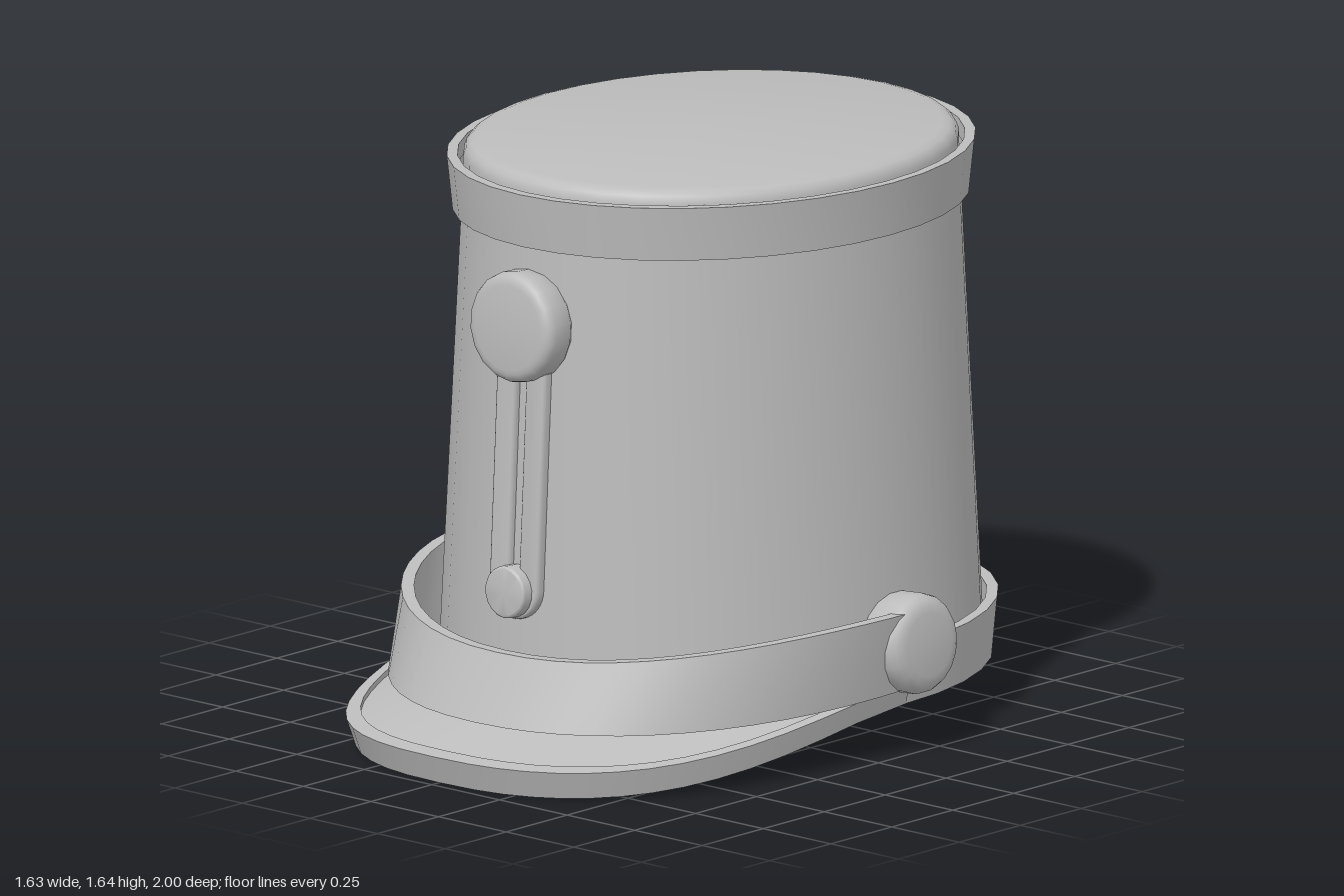
import * as THREE from 'three';
import { toCreasedNormals } from 'three/addons/utils/BufferGeometryUtils.js';

const CZ = -0.145;      // centre of the oval plan
const OVAL = 0.858;     // width / depth of the oval

// Oval lathe around the hat's axis; radii are given along z
function ovalLathe(pts, start = 0, length = Math.PI * 2) {
  const g = new THREE.LatheGeometry(pts.map(p => new THREE.Vector2(...p)), length > 4 ? 36 : 18, start, length);
  g.scale(OVAL, 1, 1);
  g.translate(0, 0, CZ);
  return toCreasedNormals(g, 0.6);
}

// Sweep a closed cross-section, section(t) -> [[x, y, z], ...], around the front half
function frontLoft(section, steps = 28) {
  const pos = [], idx = [];
  let n = 0;
  for (let i = 0; i <= steps; i++) {
    const ring = section(Math.PI * i / steps);
    n = ring.length;
    ring.forEach(p => pos.push(...p));
  }
  for (let i = 0; i < steps; i++) {
    for (let j = 0; j < n; j++) {
      const a = i * n + j, b = i * n + (j + 1) % n;
      idx.push(a, b, a + n, b, b + n, a + n);
    }
  }
  const g = new THREE.BufferGeometry();
  g.setAttribute('position', new THREE.Float32BufferAttribute(pos, 3));
  g.setIndex(idx);
  return toCreasedNormals(g, 0.6);
}

// Point on a rounded oval; power 2 is an ellipse, larger is squarer
function oval(t, rx, rz, power = 2) {
  const c = Math.cos(t), s = Math.max(0, Math.sin(t)), e = 2 / power;
  return [rx * Math.sign(c) * Math.abs(c) ** e, CZ + rz * s ** e];
}

// Soft-edged disc standing on y = 0
function roundel(r, h, soft) {
  const pts = [[0, 0], [r * 0.93, 0], [r, soft * 0.5], [r, h - soft]];
  for (let i = 1; i <= 4; i++) {
    const a = i / 4 * Math.PI / 2;
    pts.push([r - soft * (1 - Math.cos(a)), h - soft + soft * 0.9 * Math.sin(a)]);
  }
  pts.push([0, h]);
  return toCreasedNormals(new THREE.LatheGeometry(pts.map(p => new THREE.Vector2(...p)), 18), 0.75);
}

// Upright slot outline between two heights
function slot(target, r, y0, y1) {
  target.absarc(0, y1, r, 0, Math.PI, false);
  target.absarc(0, y0, r, Math.PI, Math.PI * 2, false);
  target.closePath();
  return target;
}

export function createModel() {
  const group = new THREE.Group();
  const grey = new THREE.MeshStandardMaterial({ color: 0xbcbcbc, side: THREE.DoubleSide });
  grey.name = 'grey';
  const add = (name, geometry) => {
    const m = new THREE.Mesh(geometry, grey);
    m.name = name;
    group.add(m);
    return m;
  };

  // Tapered open crown
  add('crown', ovalLathe([[0.814, 0.14], [0.738, 1.58]]));

  // Band around the top and the padded lid inside it
  add('topBand', ovalLathe([[0.735, 1.458], [0.77, 1.458], [0.787, 1.61], [0.755, 1.61], [0.75, 1.57]]));
  add('lid', ovalLathe([[0.738, 1.56], [0.738, 1.61], [0.73, 1.63], [0.715, 1.642], [0.69, 1.648], [0, 1.65]]));

  // Band around the back of the base
  add('backBand', ovalLathe(
    [[0.805, 0.14], [0.838, 0.14], [0.855, 0.31], [0.82, 0.31], [0.805, 0.14]], Math.PI / 2, Math.PI));

  // Visor: a dipping plate with a raised rim
  add('visor', frontLoft(t => {
    const [ox, oz] = oval(t, 0.735, 1.145, 2.5);
    const [bx, bz] = oval(t, 0.72, 1.115, 2.5);
    const [lx, lz] = oval(t, 0.708, 1.095, 2.5);
    const [ix, iz] = oval(t, 0.69, 0.805);
    const u = THREE.MathUtils.clamp((oz + 0.1) / 1.1, 0, 1);
    const y = 0.14 - 0.135 * Math.sin(u * Math.PI / 2) ** 1.3;
    const rim = y + 0.06 + 0.02 * u;
    return [
      [bx, y, bz], [ox, rim, oz], [lx, rim + 0.008, lz], [lx, rim - 0.008, lz],
      [ix, 0.165, iz], [ix, 0.14, iz], [lx, y + 0.015, lz],
    ];
  }));

  // Flared strap across the front
  add('frontStrap', frontLoft(t => {
    const f = Math.sin(t);
    const top = 0.42 - 0.09 * f * f, low = 0.195 - 0.045 * f;
    const [ax, az] = oval(t, 0.755, 0.975, 2.2);
    const [bx, bz] = oval(t, 0.79, 0.88, 2.15);
    const [cx, cz] = oval(t, 0.755, 0.845, 2.15);
    const [dx, dz] = oval(t, 0.72, 0.935, 2.2);
    return [[ax, low, az], [bx, top, bz], [cx, top, cz], [dx, low, dz]];
  }));

  // Strap bosses on both sides
  for (const side of [1, -1]) {
    const boss = add(side > 0 ? 'leftBoss' : 'rightBoss', roundel(0.14, 0.16, 0.05));
    boss.position.set(side * 0.655, 0.31, CZ);
    boss.rotation.z = -side * (Math.PI / 2 - 0.08);
  }

  // Cord loop on the front, leaning with the crown
  const loop = slot(new THREE.Shape(), 0.078, -0.35, 0.38);
  loop.holes.push(slot(new THREE.Path(), 0.03, -0.35, 0.38));
  const cord = add('cordLoop', toCreasedNormals(new THREE.ExtrudeGeometry(loop, {
    depth: 0.02, bevelEnabled: true, bevelThickness: 0.012, bevelSize: 0.012, bevelSegments: 3, curveSegments: 10,
  }), 0.7));
  cord.position.set(0, 0.85, 0.62);
  cord.rotation.x = -0.052;

  // Pompon above and button below the cord
  const pompon = add('pompon', roundel(0.155, 0.11, 0.035));
  pompon.position.set(0, 1.235, 0.585);
  pompon.rotation.x = Math.PI / 2 - 0.05;
  const button = add('button', roundel(0.073, 0.07, 0.01));
  button.position.set(0, 0.49, 0.637);
  button.rotation.x = Math.PI / 2 - 0.05;

  return group;
}
